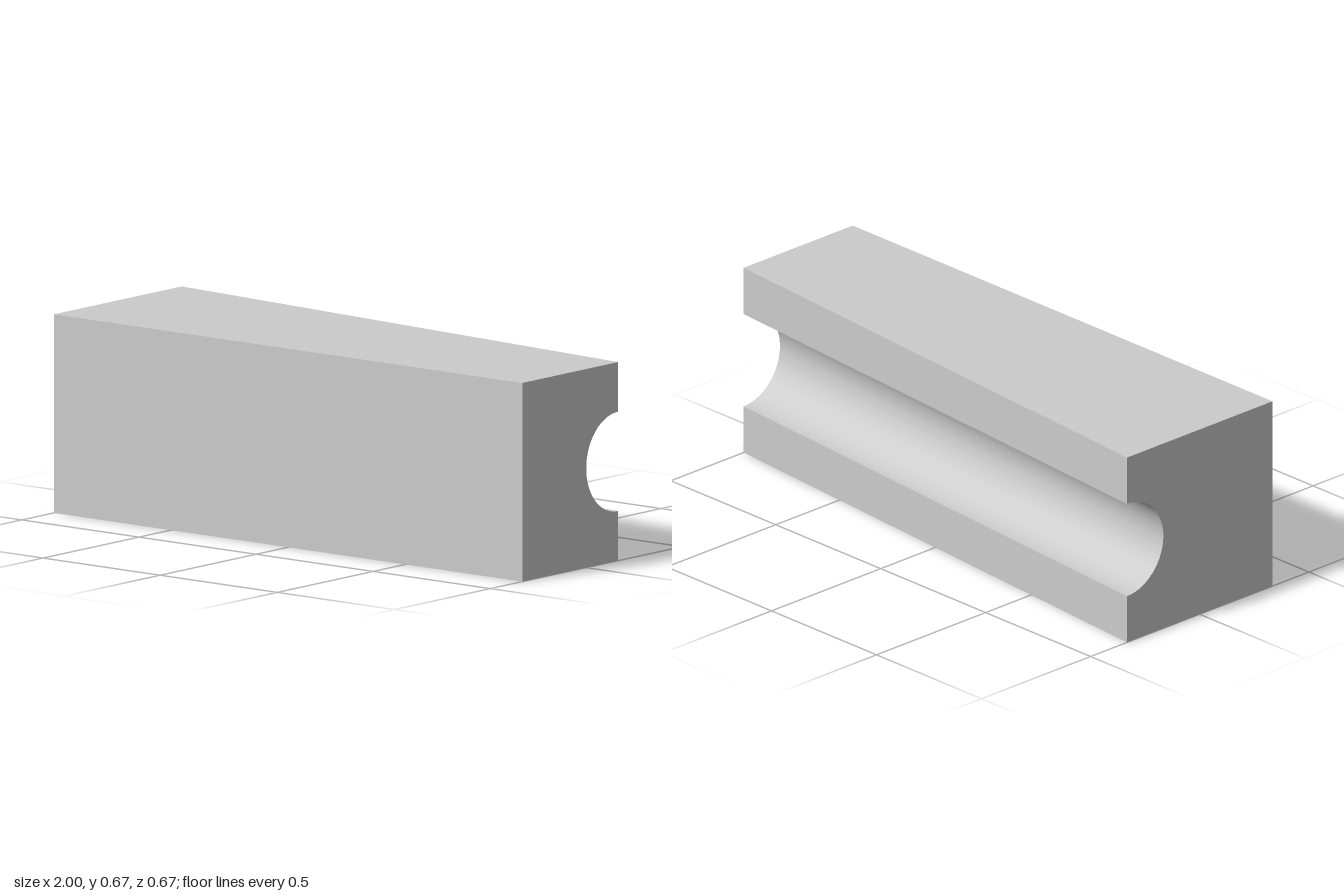
import * as THREE from 'three';
import { toCreasedNormals } from 'three/addons/utils/BufferGeometryUtils.js';

const FRONT = 1 / 3;   // z of the flat front face
const BACK = 1 / 6;    // distance of the back face behind z = 0 at the narrow end
const HEIGHT = 2 / 3;
const RADIUS = 1 / 6;  // half-round groove, centred on the back face
const TAPER = 1 / 6;   // extra depth at the wide end

export function createModel() {
  const group = new THREE.Group();
  group.name = 'groovedBlock';

  // Cross-section of the narrow end, with depth running towards the back
  const profile = new THREE.Shape();
  profile.moveTo(-FRONT, 0);
  profile.lineTo(BACK, 0);
  profile.lineTo(BACK, HEIGHT / 2 - RADIUS);
  profile.absarc(BACK, HEIGHT / 2, RADIUS, Math.PI * 1.5, Math.PI / 2, true);
  profile.lineTo(BACK, HEIGHT);
  profile.lineTo(-FRONT, HEIGHT);
  profile.closePath();

  const geometry = new THREE.ExtrudeGeometry(profile, {
    depth: 2, bevelEnabled: false, curveSegments: 32,
  });
  geometry.translate(0, 0, -1);
  geometry.rotateY(Math.PI / 2);

  // Slant the back face and its groove; the front face stays straight
  const pos = geometry.attributes.position;
  for (let i = 0; i < pos.count; i++) {
    const z = pos.getZ(i);
    if (z < FRONT - 0.01) pos.setZ(i, z - TAPER * (1 - pos.getX(i)) / 2);
  }

  const block = new THREE.Mesh(
    toCreasedNormals(geometry, Math.PI / 6),
    new THREE.MeshStandardMaterial({ color: 0xcccccc }),
  );
  block.name = 'taperedBlock';
  group.add(block);
  return group;
}
